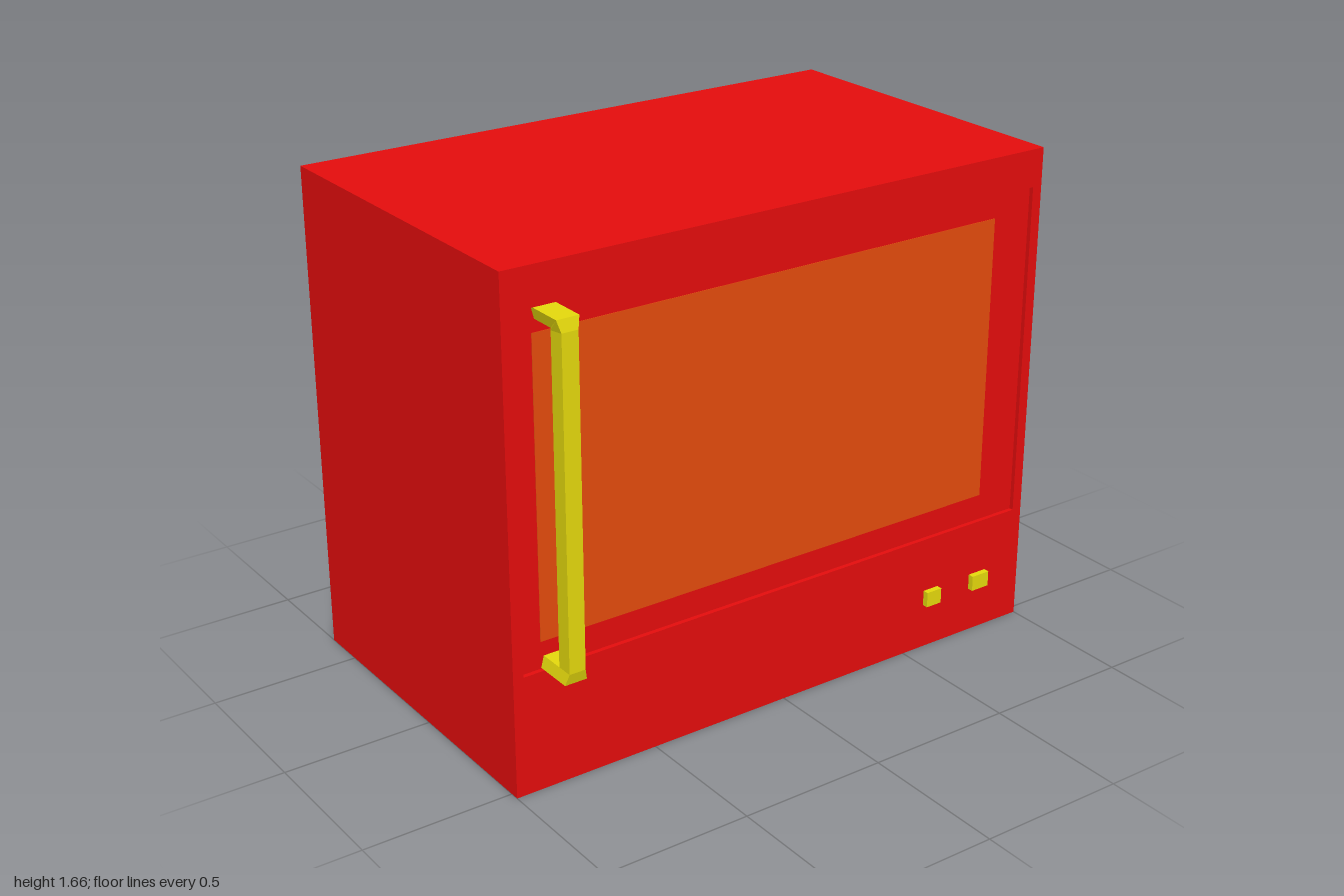
import * as THREE from 'three';

const red = new THREE.MeshStandardMaterial({ color: 0xe50d0d });
const yellow = new THREE.MeshStandardMaterial({ color: 0xe5d90d, flatShading: true });
const orange = new THREE.MeshStandardMaterial({ color: 0xe54b0d });

// Box given by its limits on each axis
function box(name, material, [x0, x1], [y0, y1], [z0, z1]) {
  const mesh = new THREE.Mesh(new THREE.BoxGeometry(x1 - x0, y1 - y0, z1 - z0), material);
  mesh.position.set((x0 + x1) / 2, (y0 + y1) / 2, (z0 + z1) / 2);
  mesh.name = name;
  return mesh;
}

function rectangle(target, x0, x1, y0, y1) {
  target.moveTo(x0, y0);
  target.lineTo(x1, y0);
  target.lineTo(x1, y1);
  target.lineTo(x0, y1);
  target.closePath();
  return target;
}

// Bent handle: four-cornered sections joined along a U-shaped path
function handleGeometry(cx, cy) {
  // Each section: outer edge [y, z, half width], inner edge [y, z, half width]
  const lower = [
    [[-0.565, 0.515, 0.0375], [-0.527, 0.515, 0.0275]],
    [[-0.565, 0.645, 0.0375], [-0.527, 0.6, 0.0275]],
    [[-0.527, 0.655, 0.0275], [-0.52, 0.6, 0.0275]],
  ];
  const upper = lower.map((s) => s.map(([y, z, w]) => [-y, z, w])).reverse();
  const sections = [...lower, ...upper];
  const positions = [];
  const index = [];
  for (const [o, i] of sections) {
    for (const [e, side] of [[o, -1], [o, 1], [i, 1], [i, -1]]) {
      positions.push(cx + side * e[2], cy + e[0], e[1]);
    }
  }
  for (let s = 0; s < sections.length - 1; s++) {
    for (let k = 0; k < 4; k++) {
      const a = s * 4 + k, b = s * 4 + (k + 1) % 4;
      index.push(a, b, b + 4, a, b + 4, a + 4);
    }
  }
  const geometry = new THREE.BufferGeometry();
  geometry.setAttribute('position', new THREE.Float32BufferAttribute(positions, 3));
  geometry.setIndex(index);
  const flat = geometry.toNonIndexed();
  flat.computeVertexNormals();
  return flat;
}

export function createModel() {
  const model = new THREE.Group();
  model.name = 'microwaveOven';

  // Body, with a front frame around the slightly sunken door
  const doorZ = 0.515;
  model.add(box('body', red, [-1, 1], [0, 1.66], [-0.65, doorZ]));
  const outline = rectangle(new THREE.Shape(), -1, 1, 0, 1.66);
  outline.holes.push(rectangle(new THREE.Path(), -0.965, 0.965, 0.4, 1.535));
  const frame = new THREE.Mesh(
    new THREE.ExtrudeGeometry(outline, { depth: 0.015, bevelEnabled: false }), red);
  frame.position.z = doorZ;
  frame.name = 'frontFrame';
  model.add(frame);

  // Door window
  model.add(box('doorWindow', orange, [-0.895, 0.82], [0.49, 1.455], [doorZ - 0.01, doorZ + 0.002]));

  // Door handle
  const handle = new THREE.Mesh(handleGeometry(-0.857, 0.968), yellow);
  handle.name = 'doorHandle';
  model.add(handle);

  // Control buttons
  for (const [name, x0, x1] of [['rightButton', 0.58, 0.64], ['leftButton', 0.78, 0.85]]) {
    model.add(box(name, yellow, [x0, x1], [0.157, 0.21], [0.52, 0.55]));
  }
  return model;
}
